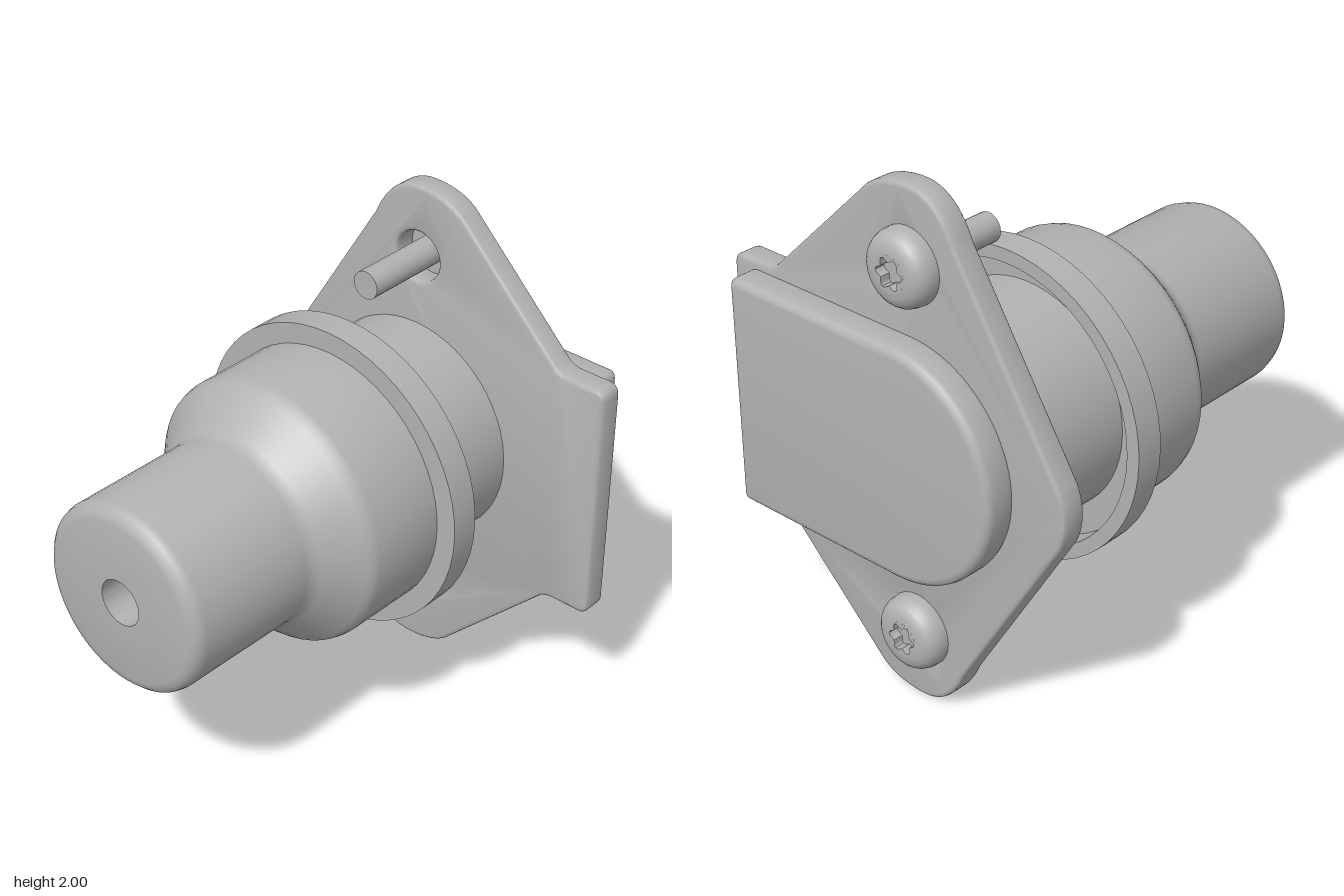
import * as THREE from 'three';
import { toCreasedNormals } from 'three/addons/utils/BufferGeometryUtils.js';

const AXIS_Y = 1.0, AXIS_Z = -0.09;

// Turned part whose axis runs along +x; points are [radius, x]
function turned(name, points, segments, material, y) {
  const profile = points.map(([r, x]) => new THREE.Vector2(r, x));
  const geometry = toCreasedNormals(new THREE.LatheGeometry(profile, segments), 0.6);
  geometry.rotateZ(-Math.PI / 2);
  const mesh = new THREE.Mesh(geometry, material);
  mesh.name = name;
  mesh.position.set(0, y, AXIS_Z);
  return mesh;
}

// Plate drawn in (-z, y) and extruded along +x between x0 and x1
function plate(name, shape, x0, x1, bevel, material) {
  let geometry = new THREE.ExtrudeGeometry(shape, {
    depth: x1 - x0 - 2 * bevel, curveSegments: 20,
    bevelEnabled: bevel > 0, bevelSize: bevel, bevelThickness: bevel,
    bevelOffset: -bevel, bevelSegments: 3,
  });
  geometry = toCreasedNormals(geometry, 0.6);
  geometry.translate(0, 0, x0 + bevel);
  geometry.rotateY(Math.PI / 2);
  const mesh = new THREE.Mesh(geometry, material);
  mesh.name = name;
  return mesh;
}

// Diamond flange with a square tab, symmetric about the axis height
function flangeShape() {
  const s = new THREE.Shape();
  const up = (v) => v, down = (v) => 2 * AXIS_Y - v;
  s.moveTo(-0.77, down(1.44));
  s.quadraticCurveTo(-0.77, down(1.485), -0.725, down(1.485));
  s.lineTo(-0.61, down(1.485));
  s.quadraticCurveTo(-0.575, down(1.485), -0.55, down(1.505));
  s.lineTo(-0.10, down(1.945));
  s.quadraticCurveTo(-0.03, down(2.0), 0.09, down(2.0));
  s.quadraticCurveTo(0.225, down(2.0), 0.297, down(1.83));
  s.lineTo(0.742, down(1.11));
  s.quadraticCurveTo(0.79, 1, 0.742, up(1.11));
  s.lineTo(0.297, up(1.83));
  s.quadraticCurveTo(0.225, up(2.0), 0.09, up(2.0));
  s.quadraticCurveTo(-0.03, up(2.0), -0.10, up(1.945));
  s.lineTo(-0.55, up(1.505));
  s.quadraticCurveTo(-0.575, up(1.485), -0.61, up(1.485));
  s.lineTo(-0.725, up(1.485));
  s.quadraticCurveTo(-0.77, up(1.485), -0.77, up(1.44));
  s.closePath();
  // Clearance holes for the screws
  for (const y of [0.285, 1.715]) {
    const hole = new THREE.Path();
    hole.absarc(-AXIS_Z, y, 0.1, 0, Math.PI * 2, true);
    s.holes.push(hole);
  }
  return s;
}

// Cover: square on one side, half round on the other
function coverShape() {
  const s = new THREE.Shape(), r = 0.45, c = 0.035, cy = 1.005, left = -0.68;
  s.moveTo(left + c, cy - r);
  s.lineTo(0.09, cy - r);
  s.absarc(0.09, cy, r, -Math.PI / 2, Math.PI / 2, false);
  s.lineTo(left + c, cy + r);
  s.quadraticCurveTo(left, cy + r, left, cy + r - c);
  s.lineTo(left, cy - r + c);
  s.quadraticCurveTo(left, cy - r, left + c, cy - r);
  return s;
}

// Domed screw with a six-lobed drive recess
function screw(y, material) {
  const group = new THREE.Group();
  group.name = 'screw';
  group.add(turned('screwShank', [[0, 0.375], [0.055, 0.375], [0.055, 0.78]], 20, material, y));

  const dome = [[0, 0.755], [0.142, 0.755], [0.142, 0.775]];
  for (let i = 1; i <= 6; i++) {
    const t = i / 6;
    dome.push([0.142 - 0.075 * t * t, 0.775 + 0.075 * Math.sin(t * Math.PI / 2)]);
  }
  dome.push([0.067, 0.81], [0, 0.81]);
  group.add(turned('screwHead', dome, 28, material, y));

  const ring = new THREE.Shape();
  ring.absarc(0, 0, 0.068, 0, Math.PI * 2, false);
  const lobes = [];
  for (let i = 0; i < 48; i++) {
    const a = (i / 48) * Math.PI * 2, r = 0.051 + 0.009 * Math.cos(6 * a);
    lobes.push(new THREE.Vector2(r * Math.cos(a), r * Math.sin(a)));
  }
  ring.holes.push(new THREE.Path(lobes));
  const drive = plate('screwDrive', ring, 0.805, 0.85, 0, material);
  drive.position.set(0, y, AXIS_Z);
  group.add(drive);
  return group;
}

export function createModel() {
  const model = new THREE.Group();
  model.name = 'flangedConnector';
  const grey = new THREE.MeshStandardMaterial({ color: 0xb2b2b2 });
  grey.name = 'light grey';

  // Stepped housing with end hole, shoulder, hollow collar and inner neck
  model.add(turned('housing', [
    [0, -0.74], [0.09, -0.74], [0.09, -0.88],
    [0.315, -0.88], [0.34, -0.873], [0.36, -0.853], [0.367, -0.825],
    [0.367, -0.34], [0.372, -0.315], [0.387, -0.29],
    [0.498, -0.175], [0.515, -0.155], [0.5225, -0.125],
    [0.5225, 0.18], [0.603, 0.18], [0.603, 0.295],
    [0.55, 0.295], [0.55, 0.19], [0.4425, 0.19], [0.4425, 0.67],
  ], 56, grey, AXIS_Y));

  model.add(plate('flange', flangeShape(), 0.66, 0.76, 0.015, grey));
  model.add(plate('cover', coverShape(), 0.74, 0.875, 0.03, grey));
  for (const y of [0.285, 1.715]) model.add(screw(y, grey));
  return model;
}
